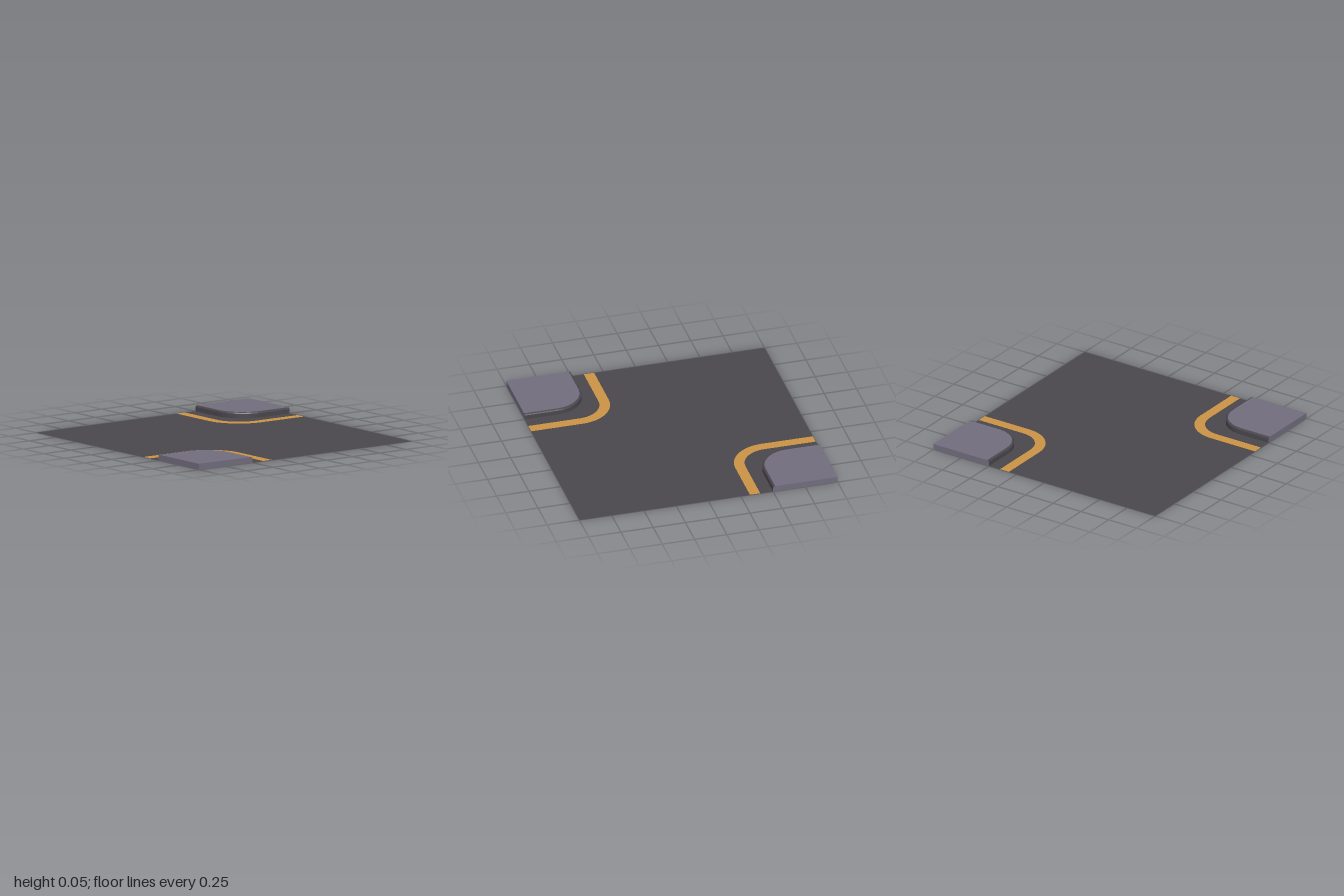
import * as THREE from 'three';

const mat = (name, color, side = THREE.FrontSide) => {
  const m = new THREE.MeshStandardMaterial({ color, side });
  m.name = name;
  return m;
};

// L-shaped line with a rounded bend, running from the back edge to the right edge
function bendPath(start, radius, segments = 12) {
  const pts = [new THREE.Vector2(start, -1)];
  const c = start + radius;
  for (let i = 0; i <= segments; i++) {
    const a = Math.PI - (i / segments) * Math.PI / 2;
    pts.push(new THREE.Vector2(c + radius * Math.cos(a), -c + radius * Math.sin(a)));
  }
  pts.push(new THREE.Vector2(1, -start));
  return pts;
}

// Flat horizontal face from (x, z) points
function flatFace(points, y) {
  const shape = new THREE.Shape(points.map(p => new THREE.Vector2(p.x, -p.y)));
  return new THREE.ShapeGeometry(shape).rotateX(-Math.PI / 2).translate(0, y, 0);
}

// Upright band between two paths at different heights
function band(low, y0, high, y1) {
  const pos = [], index = [];
  low.forEach((p, i) => {
    pos.push(p.x, y0, p.y, high[i].x, y1, high[i].y);
    if (i < low.length - 1) {
      const a = 2 * i;
      index.push(a, a + 2, a + 1, a + 2, a + 3, a + 1);
    }
  });
  const g = new THREE.BufferGeometry();
  g.setAttribute('position', new THREE.Float32BufferAttribute(pos, 3));
  g.setIndex(index);
  g.computeVertexNormals();
  return g;
}

export function createModel() {
  const asphalt = mat('dark asphalt', 0x4a474d, THREE.DoubleSide);
  const paving = mat('purple grey paving', 0x726d7e, THREE.DoubleSide);
  const paint = mat('orange paint', 0xcc9344, THREE.DoubleSide);

  const model = new THREE.Group();
  model.name = 'roadTile';
  const add = (parent, name, geometry, material) => {
    const m = new THREE.Mesh(geometry, material);
    m.name = name;
    parent.add(m);
  };

  add(model, 'roadSurface', new THREE.PlaneGeometry(2, 2).rotateX(-Math.PI / 2), asphalt);

  // Kerb edge profile: [inset, height]
  const profile = [[0, 0], [0, 0.033], [0.004, 0.041], [0.016, 0.045]];
  const EDGE = 0.5, RADIUS = 0.24;
  const rings = profile.map(([d]) => bendPath(EDGE + d, RADIUS - d));

  // Two opposite pavement corners
  for (const [name, turn] of [['backLeftCorner', 0], ['frontRightCorner', Math.PI]]) {
    const corner = new THREE.Group();
    corner.name = name;
    corner.rotation.y = turn;
    model.add(corner);

    // Painted line
    const stripe = [...bendPath(0.32, 0.28), ...bendPath(0.4, 0.2).reverse()];
    add(corner, 'paintedLine', flatFace(stripe, 0.002), paint);

    // Kerb wall and bevel
    for (let i = 0; i < 3; i++) {
      add(corner, i ? 'kerbBevel' : 'kerbWall',
        band(rings[i], profile[i][1], rings[i + 1], profile[i + 1][1]), asphalt);
    }

    // Pavement top
    add(corner, 'pavementTop', flatFace([...rings[3], new THREE.Vector2(1, -1)], 0.045), paving);

    // Straight sides on the tile border
    const side = new THREE.Shape([
      ...profile.map(([d, y]) => new THREE.Vector2(EDGE + d, y)),
      new THREE.Vector2(1, 0.045), new THREE.Vector2(1, 0),
    ]);
    add(corner, 'pavementEndSide', new THREE.ShapeGeometry(side).scale(-1, 1, 1)
      .rotateY(Math.PI).translate(0, 0, -1), paving);
    add(corner, 'pavementOuterSide', new THREE.ShapeGeometry(side)
      .rotateY(Math.PI / 2).translate(1, 0, 0), paving);
  }
  return model;
}
